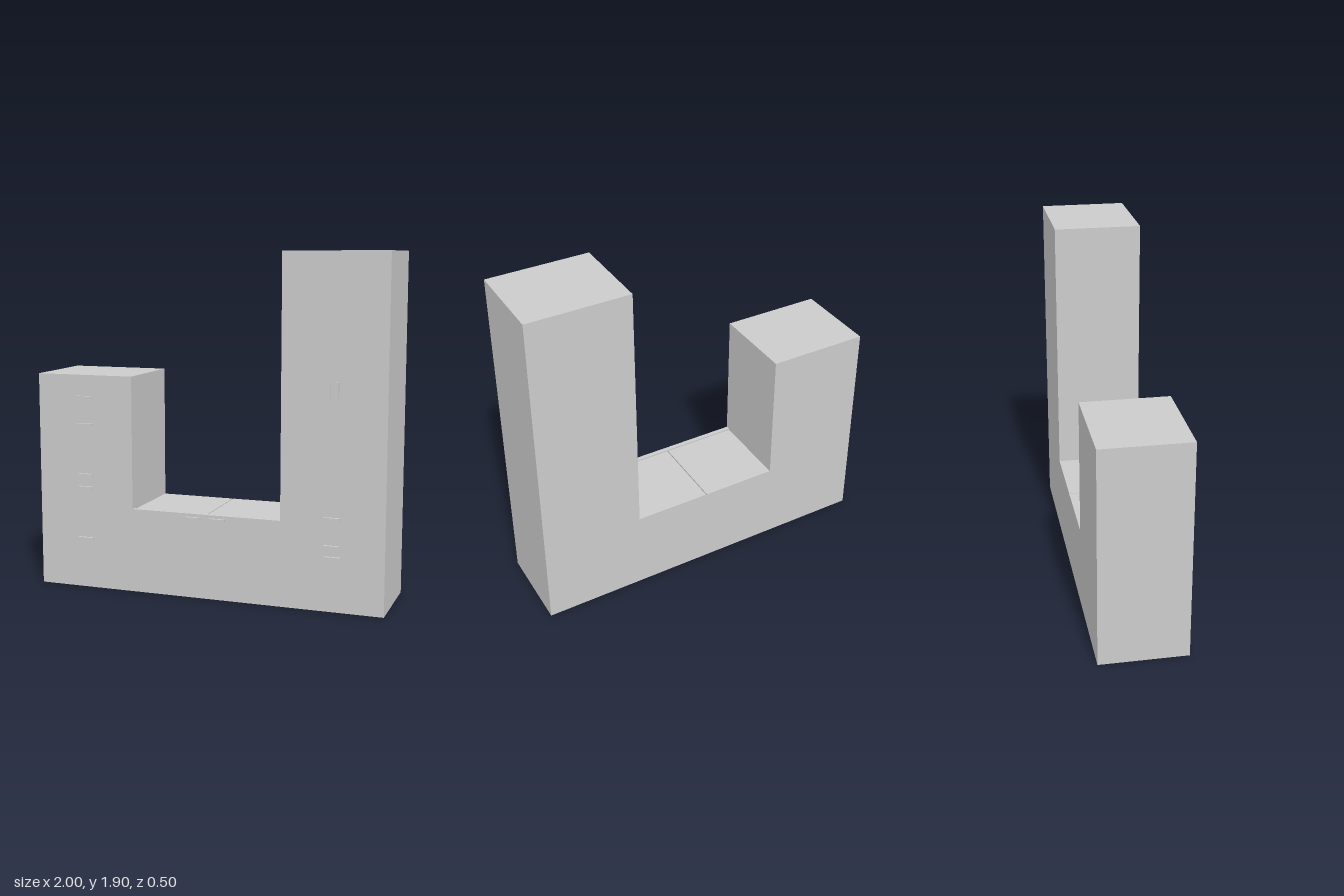
import * as THREE from 'three';

export function createModel() {
  const group = new THREE.Group();
  const material = new THREE.MeshStandardMaterial({ color: 0xcccccc });
  const BACK = -0.25, FRONT = 0.235, HANDLE = 0.25;

  // Box given by its extents on each axis
  function box(name, x0, x1, y0, y1, z0, z1) {
    const mesh = new THREE.Mesh(new THREE.BoxGeometry(x1 - x0, y1 - y0, z1 - z0), material);
    mesh.position.set((x0 + x1) / 2, (y0 + y1) / 2, (z0 + z1) / 2);
    mesh.name = name;
    group.add(mesh);
  }
  // Small bar handle standing off the front face
  function handle(name, x, y, w, h) {
    box(name, x - w / 2, x + w / 2, y - h / 2, y + h / 2, FRONT, HANDLE);
  }

  // Tall cabinets on either side
  box('rightCabinet', -1, -0.43, 0, 1.22, BACK, FRONT);
  box('leftCabinet', 0.43, 1, 0, 1.905, BACK, FRONT);

  // Low middle unit: carcass, two tops with a narrow seam, raised front panel
  box('middleCarcass', -0.43, 0.43, 0, 0.455, BACK, 0.21);
  box('rightTop', -0.43, -0.003, 0.455, 0.467, BACK, 0.21);
  box('leftTop', 0.003, 0.43, 0.455, 0.467, BACK, 0.21);
  box('middleFront', -0.43, 0.43, 0, 0.475, 0.21, FRONT);

  // Horizontal drawer handles
  for (const y of [1.095, 0.94, 0.652, 0.58, 0.285]) handle('rightDrawerHandle', -0.717, y, 0.09, 0.013);
  for (const y of [0.508, 0.357, 0.296]) handle('leftDrawerHandle', 0.717, y, 0.09, 0.013);
  for (const x of [-0.068, 0.072]) handle('middleDrawerHandle', x, 0.451, 0.09, 0.013);

  // Upright door handles
  for (const x of [0.693, 0.736]) handle('doorHandle', x, 1.18, 0.013, 0.1);

  return group;
}
